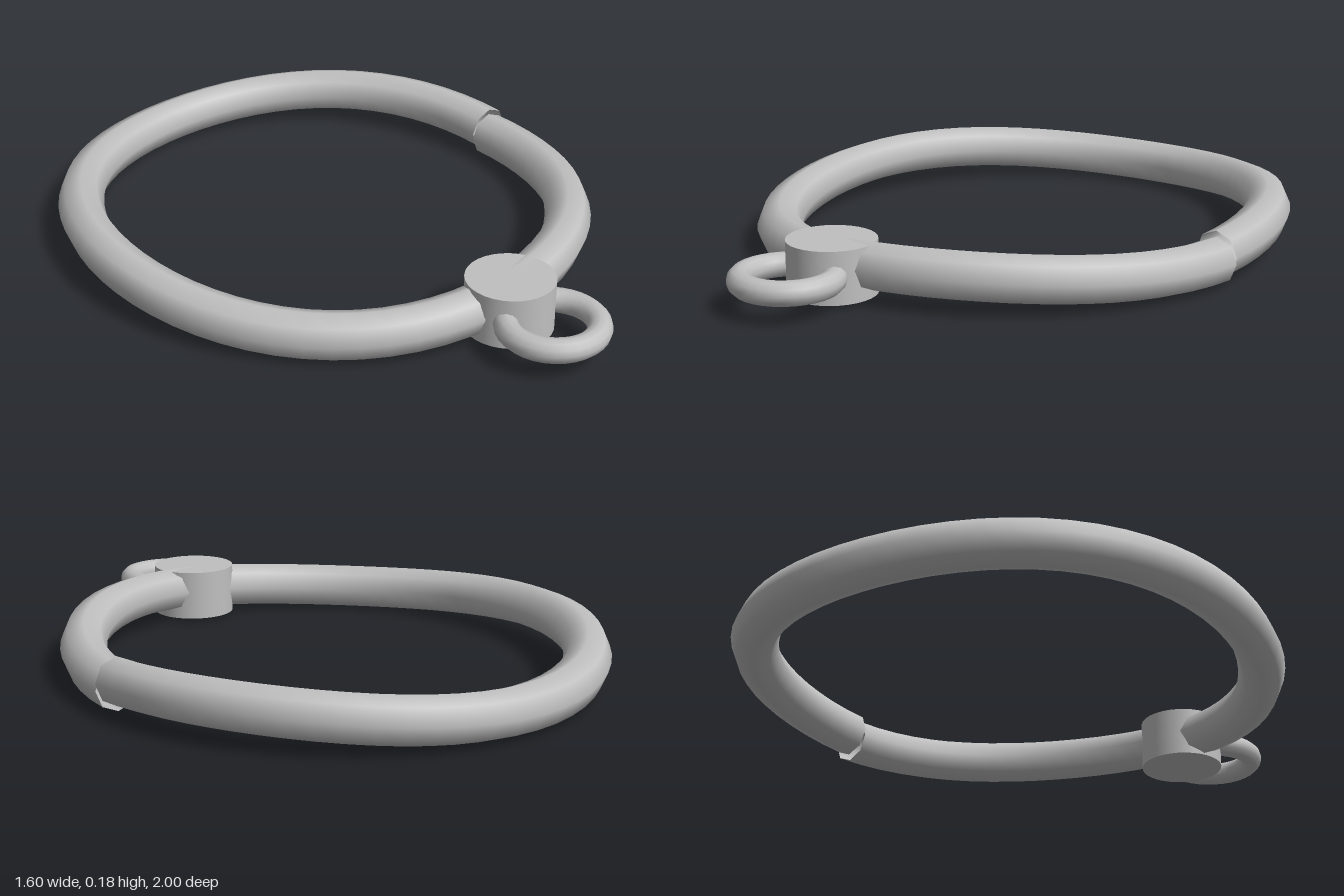
import * as THREE from 'three';

// Oval path that ripples gently up and down, with a small step where its ends meet
class WavyOval extends THREE.Curve {
  getPoint(u, target = new THREE.Vector3()) {
    const a = u * Math.PI * 2;
    return target.set(
      0.73 * Math.cos(a),
      0.0885 - 0.0185 * Math.cos(2.75 * a),
      -0.145 + 0.785 * Math.sin(a)
    );
  }
}

export function createModel() {
  const group = new THREE.Group();
  const metal = new THREE.MeshStandardMaterial({ color: 0xc0c0c0, side: THREE.DoubleSide });
  metal.name = 'greyMetal';

  const add = (name, geometry, x = 0, y = 0, z = 0) => {
    const mesh = new THREE.Mesh(geometry, metal);
    mesh.name = name;
    mesh.position.set(x, y, z);
    group.add(mesh);
    return mesh;
  };

  // Main band: eight-sided tube with smooth normals
  add('band', new THREE.TubeGeometry(new WavyOval(), 64, 0.07, 8, false));

  // Upright drum at the front
  add('clasp', new THREE.CylinderGeometry(0.13, 0.13, 0.155, 32), 0, 0.0885, 0.667);

  // Small flat ring hanging from the clasp
  const ring = add('ring', new THREE.TorusGeometry(0.13, 0.036, 12, 32), 0, 0.0885, 0.833);
  ring.rotation.x = Math.PI / 2;

  return group;
}
